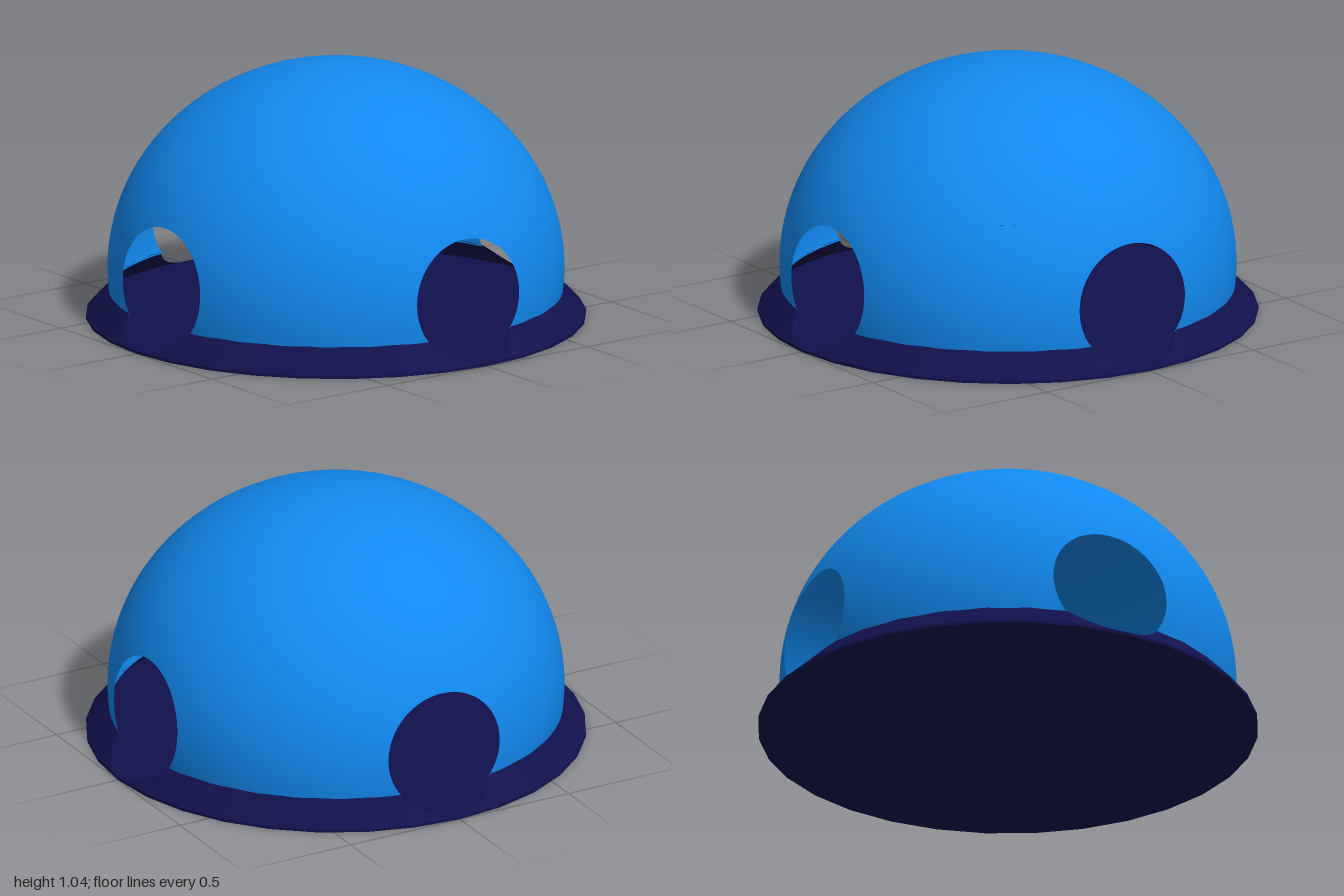
import * as THREE from 'three';
import { mergeGeometries } from 'three/addons/utils/BufferGeometryUtils.js';

// Dome ellipsoid, brim cone and doorway measurements
const A = 0.912, B = 0.84, CY = 0.2;
const FLOOR = 0.012, BRIM_TOP = 0.108, DOME_BASE = 0.1, BAND_TOP = 0.6;
const HOLE = { w: 0.255, h: 0.242, y: 0.252 };
const SIDES = 32;

const lerp = THREE.MathUtils.lerp;
const domeR = (y) => A * Math.sqrt(Math.max(0, 1 - ((y - CY) / B) ** 2));
const brimR = (y) => lerp(1, 0.908, (y - FLOOR) / (BRIM_TOP - FLOOR));
const arch = (x) => HOLE.h * Math.sqrt(Math.max(0, 1 - (x / HOLE.w) ** 2));

// Turns a circle into the brim's many-sided outline
function polygon(theta) {
  const step = (2 * Math.PI) / SIDES;
  const t = theta - Math.floor(theta / step) * step;
  return Math.cos(step / 2) / Math.cos(t - step / 2);
}

// Grid whose vertices are placed by a rule of u (rightwards) and v (upwards)
function patch(nu, nv, rule) {
  const g = new THREE.PlaneGeometry(1, 1, nu, nv);
  const p = g.attributes.position;
  for (let i = 0; i < p.count; i++) {
    p.setXYZ(i, ...rule(p.getX(i) + 0.5, p.getY(i) + 0.5));
  }
  g.computeVertexNormals();
  return g;
}

// Points on a wall of radius r(y), addressed by x (facing +z) or by angle
const atX = (r, x, y) => [x, y, Math.sqrt(Math.max(0, r(y, Math.asin(x / r(y, 0))) ** 2 - x * x))];
const atAngle = (r, t, y) => [r(y, t) * Math.sin(t), y, r(y, t) * Math.cos(t)];

// Wall strip above or below a doorway, bounded by lo(x) and hi(x)
const strip = (r, nu, nv, xAt, lo, hi) => patch(nu, nv, (u, v) => {
  const x = xAt(u);
  return atX(r, x, lerp(lo(x), hi(x), v));
});

// Wall between two neighbouring doorways
const pier = (r, nu, nv, lo, hi) => patch(nu, nv, (u, v) => {
  const y = lerp(lo, hi, v);
  const start = Math.asin(HOLE.w / r(y, 0));
  return atAngle(r, lerp(start, Math.PI / 2 - start, u), y);
});

// Repeats one quarter around the vertical axis
function fourTimes(parts) {
  const out = [];
  for (let k = 0; k < 4; k++) {
    for (const g of parts) out.push(g.clone().rotateY((k * Math.PI) / 2));
  }
  return out;
}

const doorX = (u) => HOLE.w * Math.sin((u - 0.5) * Math.PI);

function domeGeometry() {
  const r = (y) => domeR(y);
  const foot = HOLE.w * Math.sqrt(1 - ((HOLE.y - DOME_BASE) / HOLE.h) ** 2);
  const under = (x) => Math.max(DOME_BASE, HOLE.y - arch(x));
  const side = (s) => strip(r, 10, 6,
    (u) => s * lerp(foot, HOLE.w, s > 0 ? Math.sin(u * Math.PI / 2) : Math.cos(u * Math.PI / 2)),
    () => DOME_BASE, under);
  const quarter = [
    strip(r, 40, 10, doorX, (x) => HOLE.y + arch(x), () => BAND_TOP),
    side(1), side(-1),
    pier(r, 24, 20, DOME_BASE, BAND_TOP),
  ];
  // Closed crown above the doorways
  const start = Math.asin((BAND_TOP - CY) / B);
  const crown = patch(96, 24, (u, v) =>
    atAngle(r, u * 2 * Math.PI, CY + B * Math.sin(lerp(start, Math.PI / 2, v))));
  const g = mergeGeometries([...fourTimes(quarter), crown]);
  // Exact ellipsoid normals keep the shell seamless
  const p = g.attributes.position, n = new THREE.Vector3();
  for (let i = 0; i < p.count; i++) {
    n.set(p.getX(i) / A ** 2, (p.getY(i) - CY) / B ** 2, p.getZ(i) / A ** 2).normalize();
    g.attributes.normal.setXYZ(i, n.x, n.y, n.z);
  }
  return g;
}

function brimGeometry() {
  const r = (y, t) => brimR(y) * polygon(t);
  const top = (x) => Math.min(BRIM_TOP, Math.max(FLOOR, HOLE.y - arch(x)));
  return mergeGeometries(fourTimes([
    strip(r, 48, 4, doorX, () => FLOOR, top),
    pier(r, 48, 4, FLOOR, BRIM_TOP),
  ]));
}

export function createModel() {
  const model = new THREE.Group();
  const blue = new THREE.MeshStandardMaterial({ color: 0x1188ee, side: THREE.DoubleSide });
  const navy = new THREE.MeshStandardMaterial({ color: 0x11114d, side: THREE.DoubleSide });
  const add = (name, geometry, material) => {
    const mesh = new THREE.Mesh(geometry, material);
    mesh.name = name;
    model.add(mesh);
  };
  // Hollow shell with four round doorways
  add('dome', domeGeometry(), blue);
  // Sloping skirt notched by the doorways
  add('brim', brimGeometry(), navy);
  // Thin floor plate
  add('floor', new THREE.CylinderGeometry(1, 1, FLOOR, SIDES).translate(0, FLOOR / 2, 0), navy);
  return model;
}
